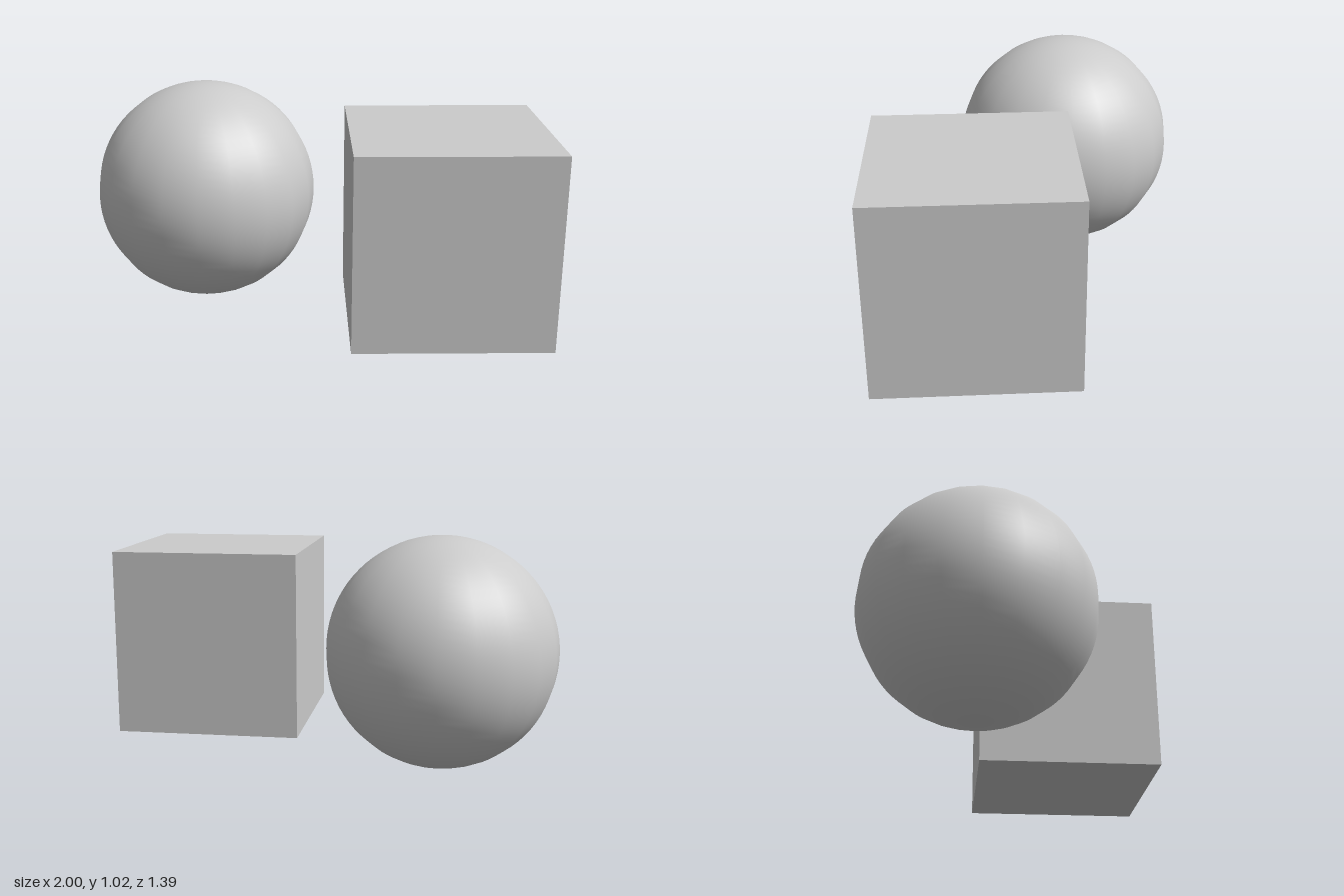
import * as THREE from 'three';

export function createModel() {
  const model = new THREE.Group();
  const grey = new THREE.MeshStandardMaterial({ color: 0xcccccc });

  const add = (name, geometry, x, y, z) => {
    const mesh = new THREE.Mesh(geometry, grey);
    mesh.name = name;
    mesh.position.set(x, y, z);
    model.add(mesh);
  };

  // Smooth ball: 20 sides around, finer rings from pole to pole
  add('ball', new THREE.SphereGeometry(0.508, 20, 40), -0.492, 0.511, -0.188);

  // Sharp-edged cube, floating slightly above the ground
  add('cube', new THREE.BoxGeometry(0.842, 0.842, 0.842), 0.579, 0.498, 0.275);

  return model;
}
